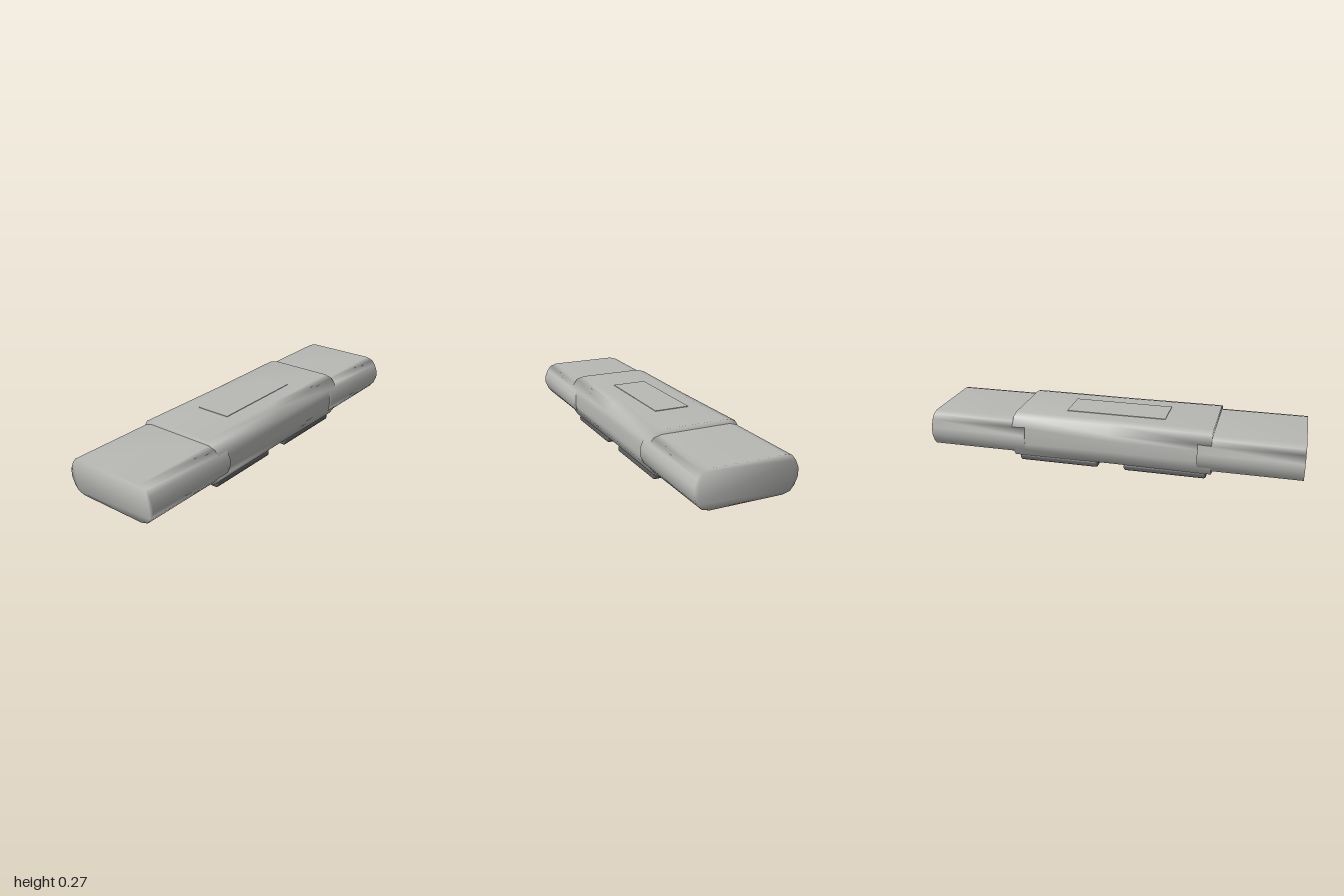
import * as THREE from 'three';
import { RoundedBoxGeometry } from 'three/addons/geometries/RoundedBoxGeometry.js';

const CENTRE_Y = 0.1425;

// Full closed ring from one quarter of a rounded outline, as [z, y] pairs
function ringFrom(quarter) {
  const up = quarter.slice().reverse();
  return [
    ...up,
    ...quarter.map(([z, y]) => [-z, y]),
    ...up.map(([z, y]) => [-z, -y]),
    ...quarter.map(([z, y]) => [z, -y]),
  ];
}

// Smooth capped loft along x; each station is [x, depth scale]
function loft(ring, stations) {
  const n = ring.length;
  const positions = [];
  const index = [];
  for (const [x, s] of stations) {
    for (const [z, y] of ring) positions.push(x, y + CENTRE_Y, z * s);
  }
  for (let k = 0; k < stations.length - 1; k++) {
    for (let i = 0; i < n; i++) {
      const j = (i + 1) % n;
      const a = k * n + i, b = k * n + j;
      index.push(a, a + n, b, b, a + n, b + n);
    }
  }
  const last = (stations.length - 1) * n;
  const contour = ring.map(([z, y]) => new THREE.Vector2(z, y));
  for (const [a, b, c] of THREE.ShapeUtils.triangulateShape(contour, [])) {
    index.push(a, b, c, last + a, last + c, last + b);
  }
  const geometry = new THREE.BufferGeometry();
  geometry.setAttribute('position', new THREE.Float32BufferAttribute(positions, 3));
  geometry.setIndex(index);
  geometry.computeVertexNormals();
  return geometry;
}

export function createModel() {
  const model = new THREE.Group();
  model.name = 'sleevedBar';
  const grey = new THREE.MeshStandardMaterial({ color: 0xb8b8b5 });
  grey.name = 'warm grey';
  const dark = new THREE.MeshStandardMaterial({ color: 0x606063 });
  dark.name = 'dark grey';

  const add = (name, geometry, material) => {
    const mesh = new THREE.Mesh(geometry, material);
    mesh.name = name;
    model.add(mesh);
    return mesh;
  };

  const barRing = ringFrom([[0.19, 0.0975], [0.23, 0.086], [0.251, 0.06], [0.268, 0.02]]);
  const sleeveRing = ringFrom([[0.175, 0.1225], [0.22, 0.11], [0.25, 0.062], [0.255, 0.03]]);

  // Central sleeve, very slightly waisted in the middle
  add('sleeve', loft(sleeveRing, [[-0.535, 1], [0, 0.975], [0.535, 1]]), grey);

  for (const side of [-1, 1]) {
    const label = side > 0 ? 'left' : 'right';

    // End bar emerging from the sleeve
    const ends = side > 0 ? [[0.465, 1], [1, 1]] : [[-1, 1], [-0.465, 1]];
    add(label + 'Bar', loft(barRing, ends), grey);

    // Foot pad under the sleeve
    const pad = add(label + 'FootPad', new RoundedBoxGeometry(0.44, 0.036, 0.437, 3, 0.014), dark);
    pad.position.set(side * 0.29, 0.018, 0);
  }

  // Thin raised plate on top, in two pieces
  for (const [name, x0, x1] of [['rightTopPlate', -0.27, -0.04], ['leftTopPlate', -0.04, 0.27]]) {
    const plate = add(name, new THREE.BoxGeometry(x1 - x0, 0.006, 0.19), grey);
    plate.position.set((x0 + x1) / 2, 0.265, -0.005);
  }

  return model;
}
